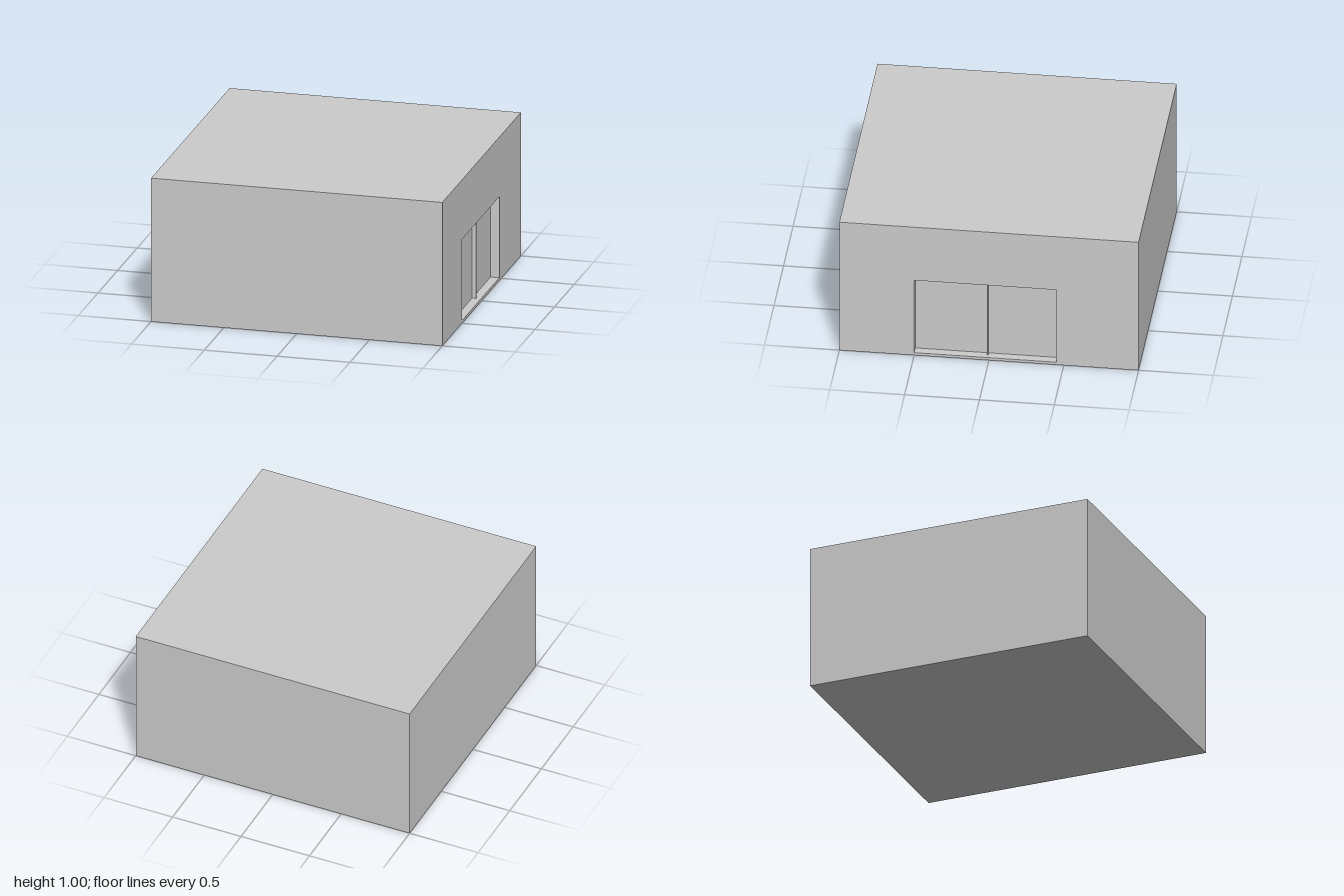
import * as THREE from 'three';

const material = new THREE.MeshStandardMaterial({ color: 0xcccccc });

// Box from min to max corner; open = leave out the +x side, inward = faces look inside
function box(name, min, max, { open = false, inward = false } = {}) {
  const size = max.map((v, i) => v - min[i]);
  const geometry = new THREE.BoxGeometry(...size);
  geometry.translate(...max.map((v, i) => (v + min[i]) / 2));
  let index = Array.from(geometry.index.array);
  if (open) index = index.slice(6);
  if (inward) index.reverse();
  geometry.setIndex(index);
  geometry.computeVertexNormals();
  const mesh = new THREE.Mesh(geometry, material);
  mesh.name = name;
  return mesh;
}

export function createModel() {
  const group = new THREE.Group();
  group.name = 'building';

  // Doorway opening on the +x wall
  const y0 = 0.02, y1 = 0.585, z0 = -0.45, z1 = 0.5;
  const back = 0.94;

  // Roof, floor and the three plain walls
  group.add(box('shell', [-1, 0, -1], [1, 1, 1], { open: true }));

  // Wall with the opening, drawn in (-z, y) and turned to face +x
  const wall = new THREE.Shape([[-1, 0], [1, 0], [1, 1], [-1, 1]].map(p => new THREE.Vector2(...p)));
  wall.holes.push(new THREE.Path([[-z1, y0], [-z1, y1], [-z0, y1], [-z0, y0]].map(p => new THREE.Vector2(...p))));
  const wallGeometry = new THREE.ShapeGeometry(wall);
  wallGeometry.rotateY(Math.PI / 2);
  wallGeometry.translate(1, 0, 0);
  const doorWall = new THREE.Mesh(wallGeometry, material);
  doorWall.name = 'doorWall';
  group.add(doorWall);

  // Recess with the door panels at its back, split by a thin mullion
  group.add(box('doorRecess', [back, y0, z0], [1, y1, z1], { open: true, inward: true }));
  group.add(box('mullion', [back, y0, 0.009], [0.967, y1, 0.018]));

  return group;
}
